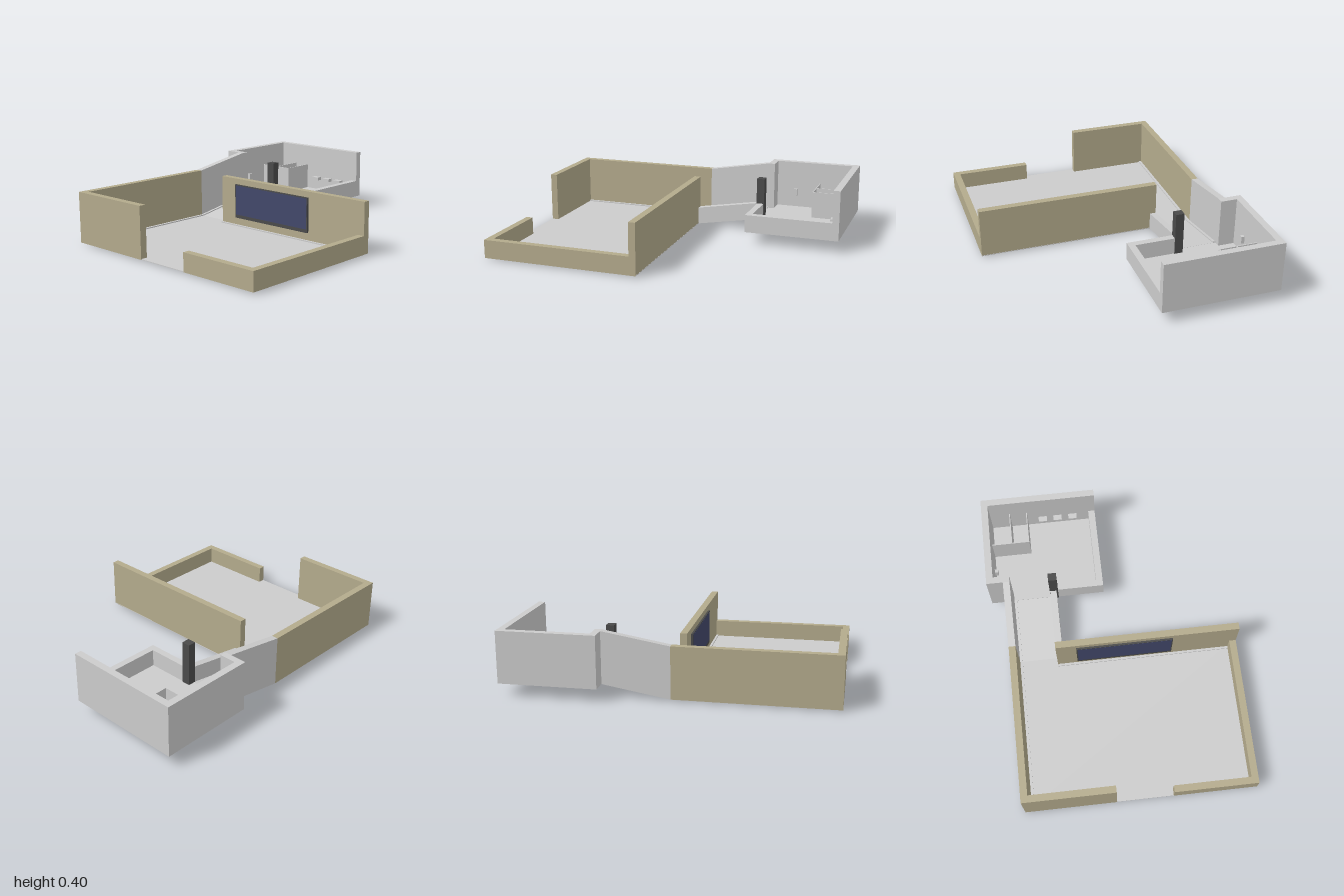
import * as THREE from 'three';

const mat = (color) => new THREE.MeshStandardMaterial({ color, flatShading: true });

export function createModel() {
  const model = new THREE.Group();
  const grey = mat(0xcccccc), tan = mat(0xb3aa8c), dark = mat(0x4a4a4a), glass = mat(0x42486a);

  // Box given by its extents; rise lifts the back end to follow the ramp
  function box(parent, name, material, [x0, x1], [y0, y1], [z0, z1], rise = 0) {
    const geo = new THREE.BoxGeometry(x1 - x0, y1 - y0, z1 - z0);
    geo.translate((x0 + x1) / 2, (y0 + y1) / 2, (z0 + z1) / 2);
    const p = geo.attributes.position;
    for (let i = 0; i < p.count; i++) {
      p.setY(i, p.getY(i) + rise * (z1 - p.getZ(i)) / (z1 - z0));
    }
    geo.computeVertexNormals();
    const mesh = new THREE.Mesh(geo, material);
    mesh.name = name;
    parent.add(mesh);
  }
  function section(name) {
    const g = new THREE.Group();
    g.name = name;
    model.add(g);
    return g;
  }

  // Main room: tall walls right and back, low walls front left and left
  const hall = section('mainRoom');
  const tall = [0.01, 0.33], low = [0.01, 0.125];
  box(hall, 'mainFloor', grey, [-0.679, 0.779], [0.011, 0.015], [0.011, 0.999]);
  box(hall, 'rightWall', tan, [-0.68, -0.637], tall, [0.012, 1]);
  box(hall, 'frontWall', tan, [-0.637, -0.108], tall, [0.957, 1]);
  box(hall, 'backWall', tan, [-0.39, 0.78], tall, [0.012, 0.055]);
  box(hall, 'leftLowWall', tan, [0.737, 0.78], low, [0.055, 1]);
  box(hall, 'frontLowWall', tan, [0.252, 0.737], low, [0.957, 1]);
  box(hall, 'rightSkirting', grey, [-0.662, -0.62], [0.002, 0.022], [0.012, 0.957]);
  box(hall, 'backSkirting', grey, [-0.388, 0.745], [0.006, 0.022], [0.03, 0.07]);

  // Wall screen
  const screen = section('wallScreen');
  box(screen, 'screenFrame', dark, [-0.26, 0.356], [0.07, 0.293], [0.055, 0.067]);
  box(screen, 'screenPanel', glass, [-0.252, 0.349], [0.092, 0.287], [0.06, 0.068]);

  // Ramp corridor climbing to the back room
  const ramp = section('ramp');
  const run = [-0.4, 0.012], rise = 0.07;
  box(ramp, 'rampFloor', grey, [-0.679, -0.351], [0.011, 0.015], run, rise);
  box(ramp, 'rampTallWall', grey, [-0.68, -0.637], tall, run, rise);
  box(ramp, 'rampLowWall', grey, [-0.392, -0.35], [0.01, 0.122], run, rise);
  box(ramp, 'rampSkirting', grey, [-0.662, -0.62], [0.002, 0.022], run, rise);

  // Back room
  const room = section('backRoom');
  const high = [0.08, 0.4], half = [0.08, 0.193];
  box(room, 'backRoomFloor', grey, [-0.784, -0.041], [0.081, 0.085], [-0.999, -0.401]);
  box(room, 'backRoomRearWall', grey, [-0.785, -0.04], high, [-1, -0.957]);
  box(room, 'backRoomSideWall', grey, [-0.785, -0.742], high, [-0.957, -0.4]);
  box(room, 'backRoomReturnWall', grey, [-0.742, -0.637], high, [-0.442, -0.4]);
  box(room, 'backRoomLowSideWall', grey, [-0.083, -0.04], half, [-0.957, -0.4]);
  box(room, 'backRoomLowFrontWall', grey, [-0.39, -0.083], half, [-0.442, -0.4]);
  box(room, 'cornerPost', dark, [-0.394, -0.34], [0.07, 0.36], [-0.447, -0.396]);
  box(room, 'wallDispenser', grey, [-0.742, -0.721], [0.165, 0.212], [-0.583, -0.56]);

  // Stall partitions
  for (const x of [-0.612, -0.499]) {
    box(room, 'stallPartition', grey, [x - 0.003, x + 0.003], [0.085, 0.26], [-0.957, -0.739]);
  }
  box(room, 'stallFront', grey, [-0.742, -0.496], [0.085, 0.26], [-0.742, -0.736]);

  // Row of basins on the rear wall
  for (const x of [-0.395, -0.295, -0.193]) {
    box(room, 'basin', grey, [x - 0.028, x + 0.028], [0.158, 0.18], [-0.957, -0.92]);
  }
  return model;
}
